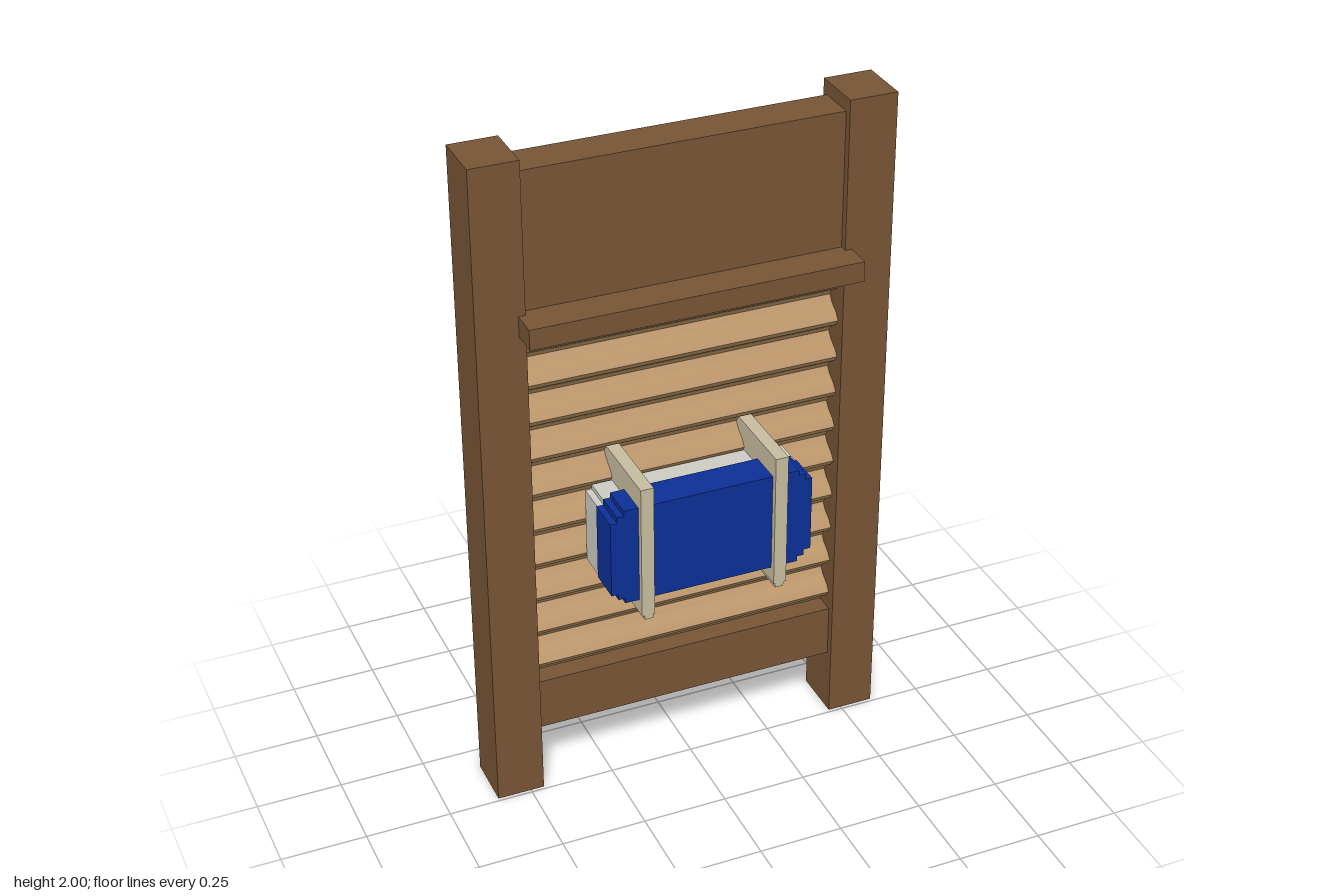
import * as THREE from 'three';

const mat = (name, color) => {
  const m = new THREE.MeshStandardMaterial({ color });
  m.name = name;
  return m;
};

export function createModel() {
  const wood = mat('dark wood', 0x765435);
  const board = mat('pale wood', 0xb58f61);
  const blue = mat('blue', 0x0c2f96);
  const beige = mat('beige', 0xc6bb9f);
  const grey = mat('light grey', 0xcbcbc4);
  const model = new THREE.Group();
  model.name = 'washboard';

  // box given by its lower and upper limits on each axis
  const box = (name, material, [x0, x1], [y0, y1], [z0, z1], parent = model) => {
    const mesh = new THREE.Mesh(new THREE.BoxGeometry(x1 - x0, y1 - y0, z1 - z0), material);
    mesh.position.set((x0 + x1) / 2, (y0 + y1) / 2, (z0 + z1) / 2);
    mesh.name = name;
    parent.add(mesh);
  };
  const mirrored = (name, material, [a, b], y, z) => {
    box(name + 'Left', material, [a, b], y, z);
    box(name + 'Right', material, [-b, -a], y, z);
  };

  // frame
  mirrored('post', wood, [0.46, 0.6], [0, 2], [-0.17, -0.01]);
  box('topPanel', wood, [-0.46, 0.46], [1.5, 1.96], [-0.15, -0.033]);
  box('bottomRail', wood, [-0.46, 0.46], [0.2, 0.36], [-0.15, -0.033]);
  box('ledge', wood, [-0.48, 0.48], [1.5, 1.56], [-0.034, 0.07]);

  // rubbing board: flat back and a wavy front, drawn in (-z, y) and extruded along x
  const waves = 10, steps = 6, y0 = 0.36, y1 = 1.5;
  const profile = new THREE.Shape();
  profile.moveTo(0.13, y1);
  profile.lineTo(0.13, y0);
  for (let i = 0; i <= waves * steps; i++) {
    const z = -0.066 - 0.028 * Math.cos((i / steps) * Math.PI * 2);
    profile.lineTo(-z, y0 + ((y1 - y0) * i) / (waves * steps));
  }
  profile.closePath();
  const ridged = new THREE.ExtrudeGeometry(profile, { depth: 0.92, bevelEnabled: false, steps: 1 });
  ridged.translate(0, 0, -0.46).rotateY(Math.PI / 2);
  const ridgedBoard = new THREE.Mesh(ridged, board);
  ridgedBoard.name = 'ridgedBoard';
  model.add(ridgedBoard);

  // block with stepped corners, drawn as one outline
  const steppedBlock = (name, material, corners, z0, z1) => {
    const cy = 0.85;
    const quarter = [];
    corners.forEach(([x, h], i) => {
      if (i) quarter.push([x, corners[i - 1][1]]);
      quarter.push([x, h]);
    });
    const back = [...quarter].reverse();
    const points = [
      ...quarter,
      ...back.map(([x, h]) => [-x, h]),
      ...quarter.map(([x, h]) => [-x, -h]),
      ...back.map(([x, h]) => [x, -h]),
    ].map(([x, h]) => new THREE.Vector2(x, cy + h));
    const geo = new THREE.ExtrudeGeometry(new THREE.Shape(points), { depth: z1 - z0, bevelEnabled: false });
    geo.translate(0, 0, z0);
    const mesh = new THREE.Mesh(geo, material);
    mesh.name = name;
    model.add(mesh);
  };
  steppedBlock('spongeFront', blue, [[0.3, 0.116], [0.28, 0.134], [0.26, 0.15]], 0.05, 0.152);
  steppedBlock('spongeBack', grey, [[0.297, 0.114], [0.278, 0.128]], -0.04, 0.05);

  // holders running through the board, with a narrow foot
  mirrored('holder', beige, [0.18, 0.218], [0.655, 1.065], [-0.17, 0.17]);
  mirrored('holderFoot', beige, [0.184, 0.21], [0.642, 0.655], [-0.17, 0.17]);

  return model;
}
